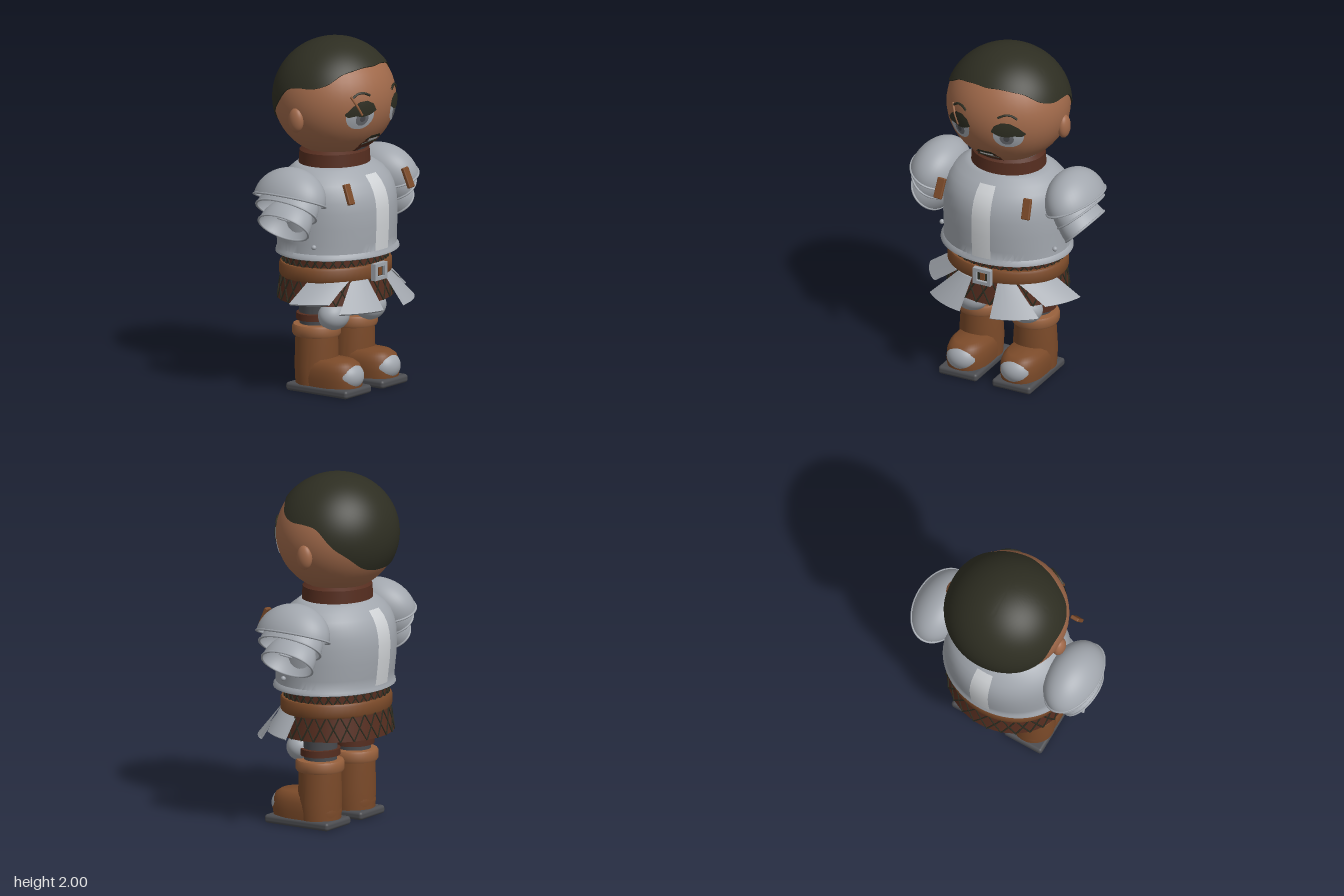
import * as THREE from 'three';
import { mergeVertices, mergeGeometries, toCreasedNormals } from 'three/addons/utils/BufferGeometryUtils.js';
import { RoundedBoxGeometry } from 'three/addons/geometries/RoundedBoxGeometry.js';

const paint = (name, color) => new THREE.MeshStandardMaterial({ name, color, side: THREE.DoubleSide });
const M = {
  skin: paint('skin', 0xa0694a), hair: paint('hair', 0x2e2e22), cloth: paint('dark brown cloth', 0x552d1f),
  leather: paint('leather', 0x7b4a29), tan: paint('light leather', 0x97603c), steel: paint('steel', 0xa2a7ae),
  bright: paint('bright steel', 0xcfd2d5), grey: paint('dark grey', 0x4b4c50), iris: paint('iris', 0x66686d),
};
const HEAD = { y: 1.658, z: -0.038, rx: 0.352, ry: 0.331, rz: 0.341 };
const rad = THREE.MathUtils.degToRad;

function add(parent, name, geo, mat, x = 0, y = 0, z = 0) {
  const m = new THREE.Mesh(geo, mat);
  m.name = name;
  m.position.set(x, y, z);
  parent.add(m);
  return m;
}

// Grid surface from fn(u, v) -> [x, y, z], u and v in 0..1
function surface(fn, nu, nv, crease = 0.7) {
  const pos = [], idx = [];
  for (let j = 0; j <= nv; j++) for (let i = 0; i <= nu; i++) pos.push(...fn(i / nu, j / nv));
  for (let j = 0; j < nv; j++) for (let i = 0; i < nu; i++) {
    const a = j * (nu + 1) + i, d = a + nu + 1;
    idx.push(a, a + 1, d + 1, a, d + 1, d);
  }
  let g = new THREE.BufferGeometry();
  g.setAttribute('position', new THREE.Float32BufferAttribute(pos, 3));
  g.setIndex(idx);
  g = mergeVertices(g, 1e-5);
  if (crease) return toCreasedNormals(g, crease);
  g.computeVertexNormals();
  return g;
}

// Elliptical sections [y, rx, rz, cz] joined upwards
const onSection = ([y, rx, rz, cz], phi, grow = 0) =>
  [Math.sin(phi) * (rx + grow), y, cz + Math.cos(phi) * (rz + grow)];
function loft(sections, { from = 0, to = Math.PI * 2, grow = 0, nu = 56 } = {}) {
  const n = sections.length - 1;
  return surface((u, v) => onSection(sections[Math.round(v * n)], from + (to - from) * u, grow), nu, n);
}

// Crossing cords over a band between two sections
function lattice(low, high, count) {
  const cords = [], step = Math.PI * 2 / count;
  for (let i = 0; i < count; i++) for (const dir of [-1, 1]) {
    const pts = [0, 0.5, 1].map(t => new THREE.Vector3(
      ...onSection(low.map((a, k) => a + (high[k] - a) * t), (i + dir * (t - 0.5)) * step, 0.002)));
    cords.push(new THREE.TubeGeometry(new THREE.CatmullRomCurve3(pts), 4, 0.005, 4));
  }
  return mergeGeometries(cords);
}

// Thin painted patch lying on the face, outlined by [x, y] points
const faceZ = (x, y) => HEAD.z + HEAD.rz *
  Math.sqrt(Math.max(0, 1 - (x / HEAD.rx) ** 2 - ((y - HEAD.y) / HEAD.ry) ** 2));
function patch(points, lift) {
  let p = points.map(([x, y]) => new THREE.Vector2(x, y));
  if (THREE.ShapeUtils.isClockWise(p)) p.reverse();
  p.push(p[0].clone());
  const outline = new THREE.Shape(p).getSpacedPoints(48);
  const c = p.slice(1).reduce((s, q) => s.add(q), new THREE.Vector2()).divideScalar(p.length - 1);
  return surface((u, v) => {
    const q = outline[Math.round(u * 48)].clone().lerp(c, v);
    return [q.x, q.y, faceZ(q.x, q.y) + lift];
  }, 48, 6, 0);
}
const oval = (x, y, rx, ry) => Array.from({ length: 24 }, (_, i) =>
  [x + rx * Math.cos(i * Math.PI / 12), y + ry * Math.sin(i * Math.PI / 12)]);
function faceLine(points, r, lift = 0.003) {
  const c = new THREE.CatmullRomCurve3(points.map(([x, y]) => new THREE.Vector3(x, y, faceZ(x, y) + lift)));
  return new THREE.TubeGeometry(c, 12, r, 6);
}

function ball(parent, name, mat, x, y, z, rx, ry, rz) {
  const m = add(parent, name, new THREE.SphereGeometry(1, 40, 28), mat, x, y, z);
  m.scale.set(rx, ry, rz);
  return m;
}

function buildHead(g) {
  ball(g, 'head', M.skin, 0, HEAD.y, HEAD.z, HEAD.rx, HEAD.ry, HEAD.rz);
  // Hair cap with a hairline height every 15 degrees from front to back
  const line = [1.868, 1.87, 1.86, 1.84, 1.79, 1.765, 1.762, 1.74, 1.645, 1.58, 1.515, 1.49, 1.487];
  const curve = new THREE.SplineCurve(line.map((y, i) => new THREE.Vector2(i, y)));
  add(g, 'hair', surface((u, v) => {
    const phi = u * Math.PI * 2, t = 1 - Math.abs(1 - 2 * u);
    const edge = Math.acos((curve.getPoint(t).y - HEAD.y) / 0.342);
    const th = edge * (1 - Math.max(0, v * 25 - 1) / 24), k = v === 0 ? -0.012 : 0;
    return [Math.sin(phi) * Math.sin(th) * (0.36 + k), HEAD.y + Math.cos(th) * (0.342 + k),
      HEAD.z + Math.cos(phi) * Math.sin(th) * (0.348 + k)];
  }, 96, 25), M.hair);
  for (const s of [-1, 1]) {
    const f = pts => pts.map(([x, y]) => [x * s, y]);
    ball(g, 'ear', M.skin, s * 0.345, 1.577, -0.05, 0.034, 0.07, 0.048);
    add(g, 'eye', patch(f(oval(0.153, 1.607, 0.078, 0.076)), 0.003), M.steel);
    add(g, 'iris', patch(f(oval(0.148, 1.592, 0.036, 0.04)), 0.005), M.iris);
    add(g, 'pupil', patch(f(oval(0.148, 1.594, 0.016, 0.02)), 0.007), M.grey);
    add(g, 'eyelid', patch(f([[0.065, 1.635], [0.085, 1.675], [0.125, 1.696], [0.17, 1.692], [0.21, 1.665],
      [0.245, 1.622], [0.225, 1.605], [0.19, 1.612], [0.15, 1.605], [0.11, 1.612]]), 0.008), M.hair);
    add(g, 'eyebrow', faceLine(f([[0.1, 1.722], [0.135, 1.738], [0.17, 1.736], [0.2, 1.715]]), 0.007), M.hair);
  }
  add(g, 'scar', faceLine([[-0.21, 1.725], [-0.185, 1.67], [-0.155, 1.615]], 0.007, 0.007), M.tan);
  // Mouth and beard
  add(g, 'beard', patch([[-0.075, 1.425], [-0.055, 1.452], [0.055, 1.452], [0.075, 1.425], [0.06, 1.375],
    [0.03, 1.358], [-0.03, 1.358], [-0.06, 1.375]], 0.003), M.cloth);
  add(g, 'moustache', patch([[-0.07, 1.45], [-0.04, 1.476], [0.04, 1.476], [0.07, 1.45], [0.04, 1.457],
    [-0.04, 1.457]], 0.006), M.hair);
  add(g, 'teeth', patch([[-0.045, 1.44], [-0.04, 1.456], [0.04, 1.456], [0.045, 1.44]], 0.006), M.bright);
  add(g, 'mouthLine', faceLine([[-0.065, 1.425], [0, 1.436], [0.065, 1.425]], 0.006), M.hair);
  add(g, 'chinPatch', patch([[-0.036, 1.374], [-0.03, 1.394], [0.03, 1.394], [0.036, 1.374]], 0.006), M.iris);
}

function buildTorso(g) {
  add(g, 'neck', loft([[1.26, 0.218, 0.195, -0.04], [1.36, 0.212, 0.188, -0.04], [1.375, 0.19, 0.165, -0.04]]), M.cloth);
  const plate = [[0.8, 0.34, 0.28, -0.025], [0.785, 0.375, 0.315, -0.02], [0.79, 0.386, 0.325, -0.02],
    [0.805, 0.384, 0.322, -0.02], [0.82, 0.37, 0.314, -0.023], [0.87, 0.368, 0.319, -0.025],
    [0.96, 0.372, 0.327, -0.028], [1.05, 0.37, 0.33, -0.03], [1.11, 0.366, 0.323, -0.031],
    [1.16, 0.358, 0.308, -0.033], [1.205, 0.342, 0.283, -0.035], [1.245, 0.308, 0.248, -0.037],
    [1.275, 0.262, 0.213, -0.04], [1.288, 0.235, 0.198, -0.04], [1.288, 0.2, 0.17, -0.04]];
  add(g, 'breastplate', loft(plate, { nu: 72 }), M.steel);
  for (const [name, mid] of [['frontStripe', 0], ['backStripe', Math.PI]])
    add(g, name, loft(plate.slice(4, 12), { from: mid - 0.157, to: mid + 0.157, grow: 0.004, nu: 10 }), M.bright);
  for (const s of [-1, 1]) {
    const strap = add(g, 'shoulderStrap', new RoundedBoxGeometry(0.05, 0.12, 0.022, 2, 0.006), M.leather, s * 0.275, 1.18, 0.268);
    strap.rotation.set(-0.38, 0, s * 0.06);
    ball(g, 'rivet', M.steel, s * 0.358, 0.865, 0.085, 0.014, 0.014, 0.014);
    ball(g, 'rivet', M.steel, s * 0.352, 1.09, 0.085, 0.014, 0.014, 0.014);
    // Layered shoulder domes: centre x, y, tilt, half width, height, half depth
    const layers = [['shoulderDome', 0.432, 1.135, 0.38, 0.153, 0.188, 0.228],
      ['upperArmPlate', 0.463, 1.075, 0.68, 0.134, 0.18, 0.195], ['lowerArmPlate', 0.489, 0.987, 0.785, 0.122, 0.19, 0.162]];
    for (const [name, x, y, tilt, rx, h, rz] of layers) {
      const arm = new THREE.Group();
      arm.name = name;
      arm.position.set(s * x, y, -0.03);
      arm.rotation.z = s * tilt;
      g.add(arm);
      add(arm, 'dome', new THREE.SphereGeometry(1, 48, 16, 0, Math.PI * 2, 0, Math.PI / 2), M.steel).scale.set(rx, h, rz);
      const rim = add(arm, 'rim', new THREE.TorusGeometry(1, 0.04, 8, 48), M.steel);
      rim.rotation.x = Math.PI / 2;
      rim.scale.set(rx, rz, 0.15);
    }
  }
}

function buildWaist(g) {
  const low = [0.725, 0.33, 0.275, -0.035], high = [0.8, 0.33, 0.275, -0.035];
  add(g, 'tunic', loft([low, high]), M.cloth);
  add(g, 'tunicLattice', lattice(low, high, 36), M.hair);
  const hem = [0.52, 0.352, 0.308, -0.035], top = [0.665, 0.335, 0.285, -0.035];
  add(g, 'skirt', loft([hem, top]), M.cloth);
  add(g, 'skirtLattice', lattice(hem, top, 26), M.hair);
  add(g, 'belt', loft([[0.65, 0.32, 0.265, -0.032], [0.652, 0.345, 0.288, -0.032], [0.665, 0.353, 0.295, -0.032],
    [0.72, 0.353, 0.295, -0.032], [0.733, 0.345, 0.288, -0.032], [0.736, 0.32, 0.265, -0.032]]), M.leather);
  // Buckle
  const frame = new THREE.Shape([[-0.056, -0.048], [0.056, -0.048], [0.056, 0.048], [-0.056, 0.048]].map(p => new THREE.Vector2(...p)));
  frame.holes.push(new THREE.Path([[-0.034, -0.028], [-0.034, 0.028], [0.034, 0.028], [0.034, -0.028]].map(p => new THREE.Vector2(...p))));
  add(g, 'buckleFrame', new THREE.ExtrudeGeometry(frame, { depth: 0.03, bevelEnabled: false }), M.steel, 0, 0.693, 0.26);
  add(g, 'buckleInset', new THREE.BoxGeometry(0.07, 0.058, 0.008), M.hair, 0, 0.693, 0.268);
  add(g, 'bucklePin', new THREE.BoxGeometry(0.026, 0.044, 0.014), M.leather, 0, 0.693, 0.276);
  // Flared hip plates: azimuths at top and bottom, bottom height, bottom radii at each end
  for (const s of [-1, 1]) for (const [name, t0, t1, b0, b1, yb, r0, r1] of [
    ['frontHipPlate', 16, 36, 13.5, 50, 0.5, 0.43, 0.452], ['sideHipPlate', 39, 80, 58, 86, 0.55, 0.425, 0.478]]) {
    add(g, name, surface((u, v) => {
      const k = Math.round(v * 4), bottom = k === 1 || k === 2, inset = k === 2 || k === 3 ? 0.014 : 0;
      const a = rad(bottom ? b0 + (b1 - b0) * u : t0 + (t1 - t0) * u);
      const r = (bottom ? r0 + (r1 - r0) * u : 0.305 + 0.03 * Math.sin(a) ** 2) - inset;
      return [s * Math.sin(a) * r, (bottom ? yb : 0.658) - (bottom ? inset * 0.7 : 0), -0.035 + Math.cos(a) * r];
    }, 12, 4, 0.5), M.steel);
  }
  add(g, 'hips', loft([[0.5, 0.001, 0.001, -0.04], [0.52, 0.2, 0.09, -0.04], [0.58, 0.28, 0.17, -0.04], [0.68, 0.3, 0.22, -0.04]]), M.grey);
}

function buildLeg(g, s) {
  const leg = new THREE.Group();
  leg.name = s > 0 ? 'leftLeg' : 'rightLeg';
  leg.position.x = s * 0.17;
  g.add(leg);
  add(leg, 'trouser', loft([[0.35, 0.092, 0.092, -0.04], [0.48, 0.1, 0.095, -0.04], [0.62, 0.12, 0.11, -0.04]]), M.grey);
  add(leg, 'garter', loft([[0.41, 0.09, 0.09, -0.04], [0.412, 0.12, 0.108, -0.04], [0.45, 0.12, 0.108, -0.04], [0.452, 0.09, 0.09, -0.04]]), M.cloth);
  ball(leg, 'kneeCap', M.steel, 0, 0.443, 0.083, 0.102, 0.083, 0.083);
  add(leg, 'bootCuff', loft([[0.318, 0.11, 0.11, -0.037], [0.32, 0.13, 0.132, -0.037], [0.332, 0.137, 0.138, -0.037],
    [0.372, 0.137, 0.138, -0.037], [0.384, 0.13, 0.132, -0.037], [0.387, 0.09, 0.09, -0.037]]), M.tan);
  add(leg, 'bootShaft', loft([[0.045, 0.122, 0.118, -0.037], [0.15, 0.129, 0.122, -0.037], [0.33, 0.116, 0.122, -0.037]]), M.leather);
  // Foot with squarish rounded sections
  const foot = [[0.045, 0.118, 0.2], [0.09, 0.122, 0.208], [0.14, 0.12, 0.2], [0.175, 0.108, 0.185], [0.195, 0.085, 0.155], [0.202, 0.001, 0.001]];
  const sq = a => Math.sign(a) * Math.abs(a) ** 0.75;
  add(leg, 'bootFoot', surface((u, v) => {
    const [y, rx, rz] = foot[Math.round(v * 5)], a = u * Math.PI * 2;
    return [sq(Math.sin(a)) * rx, y, 0.05 + sq(Math.cos(a)) * rz];
  }, 48, 5), M.leather);
  ball(leg, 'toeCap', M.steel, 0, 0.108, 0.19, 0.094, 0.08, 0.08);
  add(leg, 'sole', new RoundedBoxGeometry(0.245, 0.048, 0.43, 3, 0.018), M.grey, 0, 0.024, 0.047);
}

export function createModel() {
  const g = new THREE.Group();
  g.name = 'armouredFigure';
  buildHead(g);
  buildTorso(g);
  buildWaist(g);
  for (const s of [-1, 1]) buildLeg(g, s);
  return g;
}
